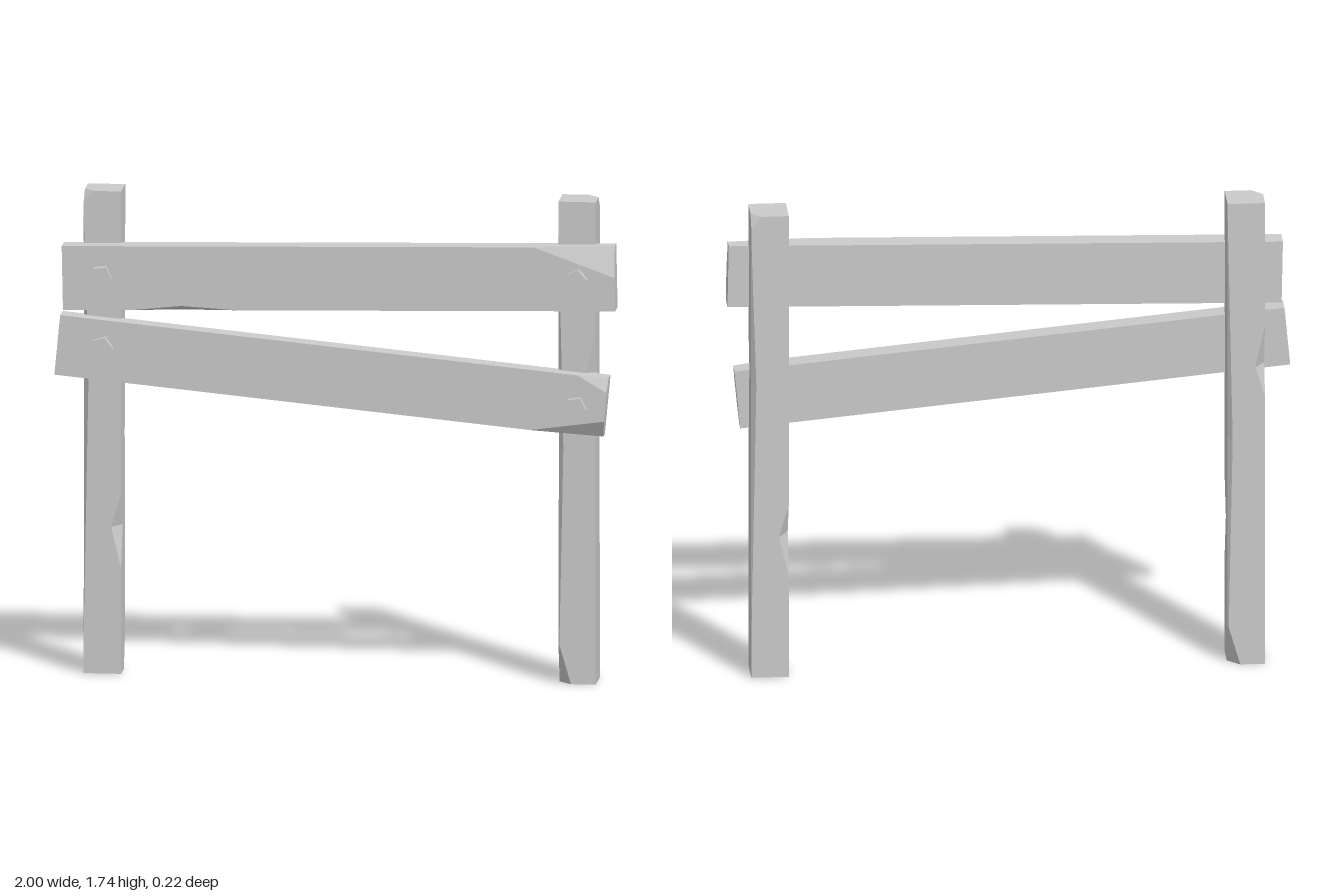
import * as THREE from 'three';

const wood = new THREE.MeshStandardMaterial({ color: 0xcccccc, flatShading: true });
const CORNERS = [[1, 1], [1, -1], [-1, -1], [-1, 1]];

// Cut size [dx, dz] of one corner edge at height y; keys are [y, dx, dz], held beyond both ends
function cutAt(keys, y) {
  if (keys.length === 0) return [0, 0];
  const next = keys.findIndex(k => y <= k[0]);
  if (next === 0) return keys[0].slice(1);
  if (next < 0) return keys[keys.length - 1].slice(1);
  const a = keys[next - 1], b = keys[next];
  const t = (y - a[0]) / (b[0] - a[0]);
  return [a[1] + (b[1] - a[1]) * t, a[2] + (b[2] - a[2]) * t];
}

// Square timber along y, with chips cut from its four long edges
function timber(width, length, depth, cuts) {
  const hx = width / 2, hz = depth / 2;
  const ys = [...new Set([0, length, ...cuts.flat().map(k => k[0])])].sort((a, b) => a - b);
  const rings = ys.map(y => CORNERS.flatMap(([sx, sz], c) => {
    const [dx, dz] = cutAt(cuts[c], y);
    const alongX = [sx * (hx - dx), y, sz * hz];
    const alongZ = [sx * hx, y, sz * (hz - dz)];
    return c % 2 ? [alongZ, alongX] : [alongX, alongZ];
  }));
  const pos = [];
  const tri = (a, b, c) => pos.push(...a, ...b, ...c);
  for (let i = 0; i + 1 < rings.length; i++) {
    for (let j = 0; j < 8; j++) {
      const k = (j + 1) % 8, lo = rings[i], hi = rings[i + 1];
      tri(lo[j], lo[k], hi[k]);
      tri(lo[j], hi[k], hi[j]);
    }
  }
  const bottom = rings[0], top = rings[rings.length - 1];
  for (let j = 0; j < 8; j++) {
    const k = (j + 1) % 8;
    tri([0, 0, 0], bottom[k], bottom[j]);
    tri([0, length, 0], top[j], top[k]);
  }
  const geo = new THREE.BufferGeometry();
  geo.setAttribute('position', new THREE.Float32BufferAttribute(pos, 3));
  geo.computeVertexNormals();
  return geo;
}

export function createModel() {
  const group = new THREE.Group();
  const add = (name, geo) => {
    const mesh = new THREE.Mesh(geo, wood);
    mesh.name = name;
    group.add(mesh);
    return mesh;
  };

  // Posts: the same chipped timber, one turned half round
  const postGeo = timber(0.133, 1.74, 0.133, [
    [[0.38, 0, 0], [0.53, 0.035, 0.05], [0.65, 0, 0]],
    [[0, 0.045, 0.045], [0.14, 0.004, 0.004], [0.85, 0.018, 0.018], [1.7, 0, 0]],
    [[1.01, 0, 0], [1.12, 0.035, 0.05], [1.28, 0, 0]],
    [[0.13, 0, 0], [1.1, 0.018, 0.018], [1.66, 0, 0], [1.7, 0, 0], [1.74, 0.04, 0.04]],
  ]);
  add('rightPost', postGeo).position.set(-0.836, 0, -0.045);
  const leftPost = add('leftPost', postGeo);
  leftPost.position.set(0.853, 0, -0.045);
  leftPost.rotation.y = Math.PI;

  // Planks: timbers laid between two end points, local +x facing down
  const plank = (name, x0, y0, x1, y1, width, cuts) => {
    const length = Math.hypot(x1 - x0, y1 - y0);
    const mesh = add(name, timber(width, length, 0.077, cuts));
    mesh.position.set(x0, y0, 0.0395);
    mesh.rotation.z = Math.atan2(y1 - y0, x1 - x0) - Math.PI / 2;
  };
  plank('upperPlank', -0.972, 1.435, 0.993, 1.475, 0.23, [
    [[0.25, 0, 0], [0.42, 0.015, 0.015], [0.62, 0, 0]], [], [],
    [[1.68, 0, 0], [1.965, 0.11, 0.03]],
  ]);
  plank('lowerPlank', -0.99, 1.193, 0.96, 1.008, 0.216, [
    [[1.7, 0, 0], [1.955, 0.06, 0.035]], [], [],
    [[1.85, 0, 0], [1.955, 0.05, 0.015]],
  ]);

  // Five-sided bolt heads: x, y, turn
  const boltGeo = new THREE.CylinderGeometry(0.04, 0.04, 0.05, 5).rotateX(Math.PI / 2);
  [[-0.834, 1.447, 0.1], [0.858, 1.47, 0.4], [-0.831, 1.19, 0.3], [0.855, 1.012, 0.15]]
    .forEach(([x, y, turn], i) => {
      const bolt = add('bolt' + (i + 1), boltGeo);
      bolt.position.set(x, y, 0.081);
      bolt.rotation.z = turn;
    });

  return group;
}
